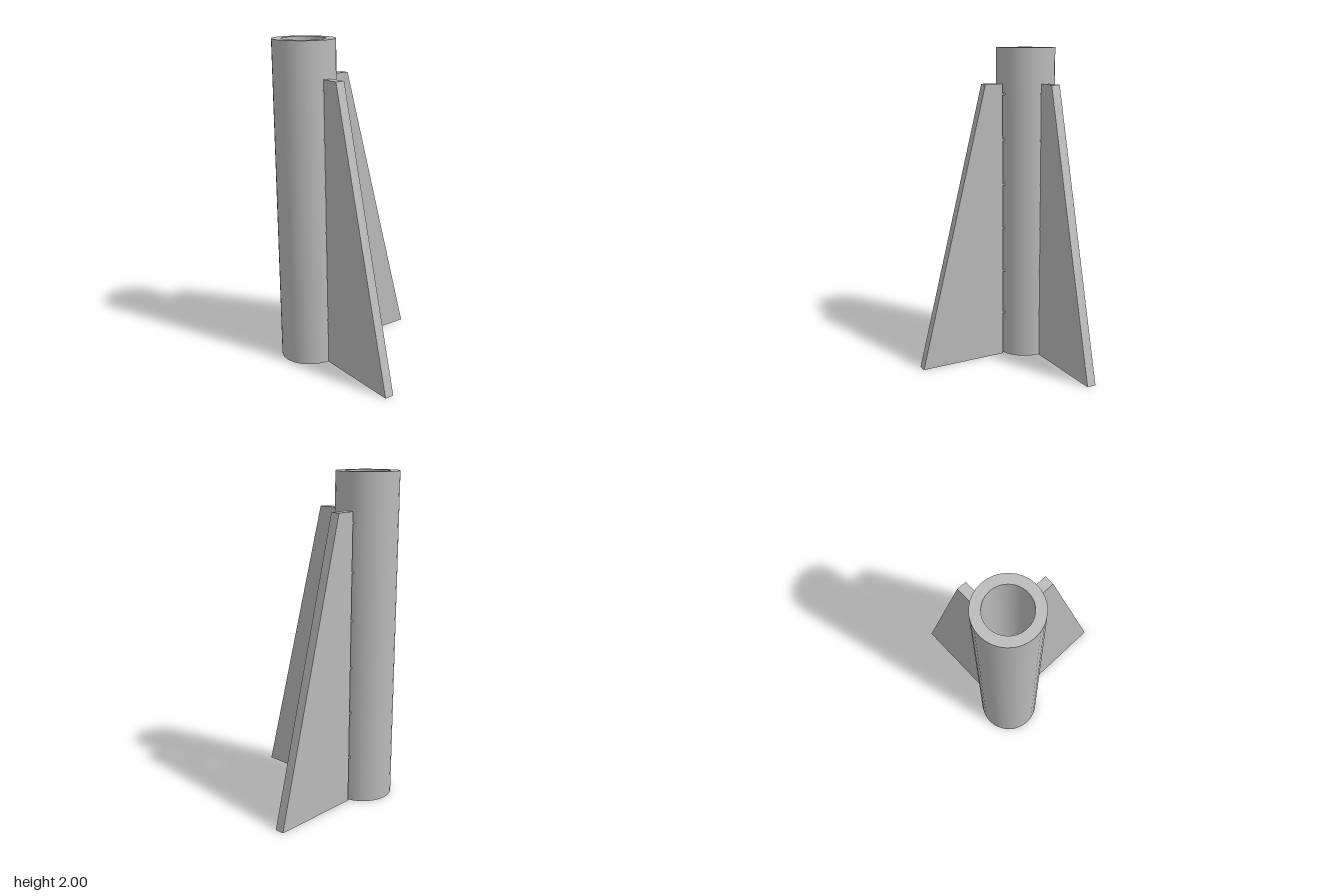
import * as THREE from 'three';
import { toCreasedNormals } from 'three/addons/utils/BufferGeometryUtils.js';

const THICK = 0.057;

export function createModel() {
  const model = new THREE.Group();
  model.name = 'finnedTube';
  const grey = new THREE.MeshStandardMaterial({ color: 0xbababa });
  grey.name = 'plain grey';

  const add = (parent, name, geometry) => {
    const mesh = new THREE.Mesh(geometry, grey);
    mesh.name = name;
    parent.add(mesh);
    return mesh;
  };

  // Hollow round tube, open at both ends
  const circle = (r) => Array.from({ length: 32 }, (_, i) => {
    const a = (i / 32) * Math.PI * 2;
    return new THREE.Vector2(Math.cos(a) * r, Math.sin(a) * r);
  });
  const ring = new THREE.Shape(circle(0.188));
  ring.holes.push(new THREE.Path(circle(0.13)));
  const tubeGeometry = new THREE.ExtrudeGeometry(ring, { depth: 2, bevelEnabled: false });
  tubeGeometry.rotateX(-Math.PI / 2);
  add(model, 'tube', toCreasedNormals(tubeGeometry, 0.5)).position.set(-0.289, 0, 0.289);

  // Tapered fin, standing just clear of the tube
  const finShape = new THREE.Shape([
    new THREE.Vector2(0, 0),
    new THREE.Vector2(0.571, 0),
    new THREE.Vector2(0.12, 1.78),
    new THREE.Vector2(0, 1.78),
  ]);
  const finGeometry = new THREE.ExtrudeGeometry(finShape, { depth: THICK, bevelEnabled: false });

  // Small tabs that bridge the gap between fin and tube
  const tabGeometry = new THREE.BoxGeometry(0.022, 0.01, THICK);

  const addFin = (name, x, z, turn) => {
    const fin = new THREE.Group();
    fin.name = name;
    add(fin, 'finPlate', finGeometry);
    for (let i = 1; i <= 6; i++) {
      add(fin, 'tab', tabGeometry).position.set(-0.01, i * 0.286, THICK / 2);
    }
    fin.position.set(x, 0, z);
    fin.rotation.y = turn;
    model.add(fin);
  };
  addFin('leftFin', -0.094, 0.232, 0);
  addFin('backFin', -0.347, 0.094, Math.PI / 2);

  return model;
}
